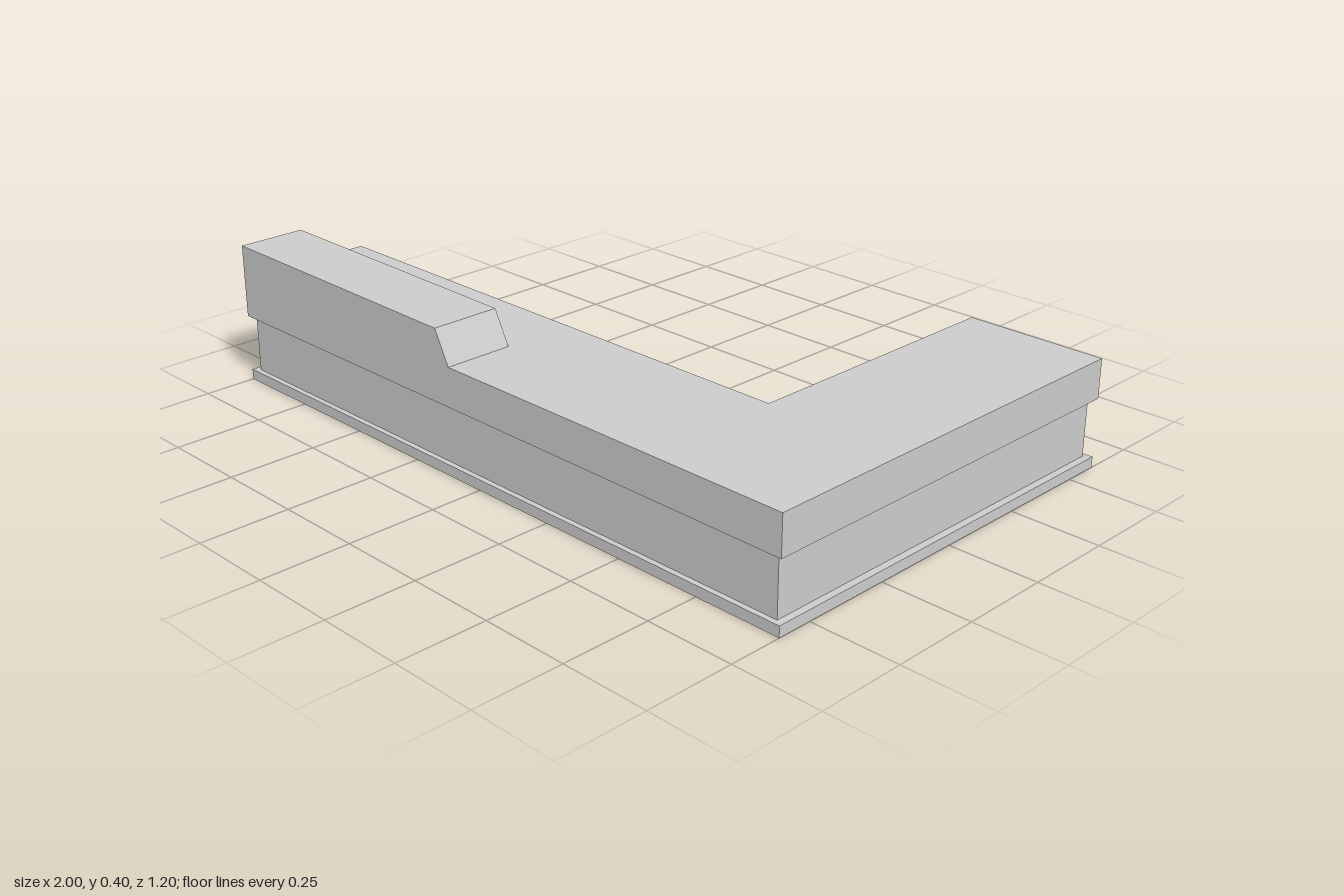
import * as THREE from 'three';

const material = new THREE.MeshStandardMaterial({ color: 0xcccccc, flatShading: true });

// L-shaped slab: x and z are the outer limits, armX / armZ the inner edges
function lSlab(name, x, z, armX, armZ, y0, y1) {
  const points = [[-x, -z], [x, -z], [x, z], [armX, z], [armX, -armZ], [-x, -armZ]];
  const shape = new THREE.Shape(points.map(([px, py]) => new THREE.Vector2(px, py)));
  const geometry = new THREE.ExtrudeGeometry(shape, { depth: y1 - y0, bevelEnabled: false });
  geometry.rotateX(-Math.PI / 2); // shape y becomes -z, depth becomes y
  const mesh = new THREE.Mesh(geometry, material);
  mesh.name = name;
  mesh.position.y = y0;
  return mesh;
}

export function createModel() {
  const group = new THREE.Group();
  group.name = 'cornerCounter';

  // Plinth, recessed body and overhanging worktop
  group.add(lSlab('plinth', 1, 0.6, 0.8, 0.4, 0, 0.03));
  group.add(lSlab('body', 0.98, 0.585, 0.815, 0.415, 0.03, 0.192));
  group.add(lSlab('worktop', 1, 0.6, 0.6, 0.2, 0.192, 0.302));

  // Raised front ledge with a sloping end
  const profile = new THREE.Shape([
    [-1, 0.302], [-0.105, 0.302], [-0.152, 0.393], [-1, 0.4],
  ].map(([x, y]) => new THREE.Vector2(x, y)));
  const ledge = new THREE.Mesh(
    new THREE.ExtrudeGeometry(profile, { depth: 0.196, bevelEnabled: false }), material);
  ledge.name = 'raisedLedge';
  ledge.position.z = 0.404;
  group.add(ledge);

  return group;
}
